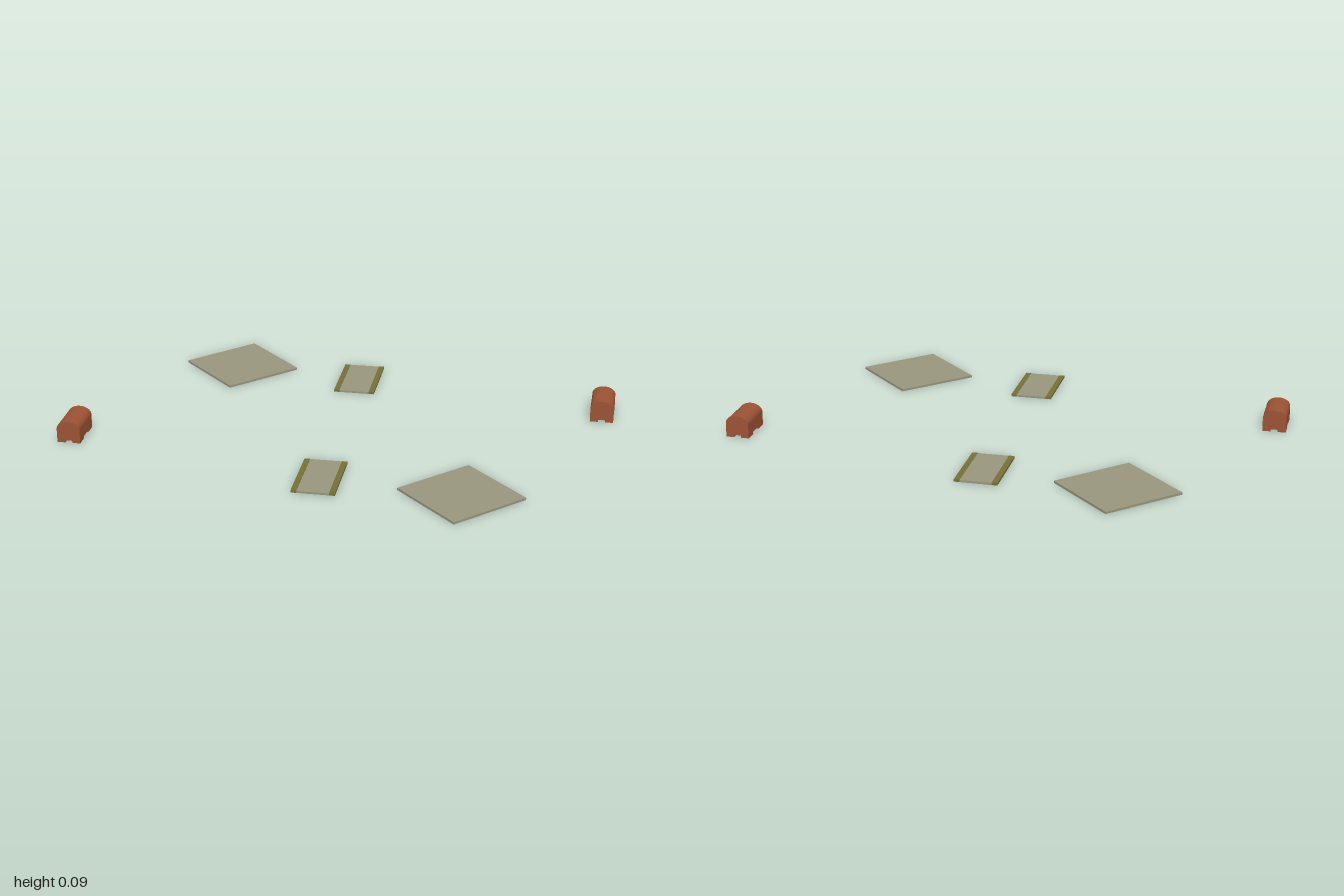
import * as THREE from 'three';

const material = (name, color) => {
  const m = new THREE.MeshStandardMaterial({ color });
  m.name = name;
  return m;
};

export function createModel() {
  const stone = material('grey olive', 0x98967c);
  const trim = material('dark olive', 0x757038);
  const wood = material('rust brown', 0x9c5335);
  const model = new THREE.Group();

  const add = (parent, name, geometry, mat, x = 0, y = 0, z = 0) => {
    const mesh = new THREE.Mesh(geometry, mat);
    mesh.name = name;
    mesh.position.set(x, y, z);
    parent.add(mesh);
    return mesh;
  };

  // Each diagonal piece runs along its local z
  const diagonal = (name, x, z) => {
    const group = new THREE.Group();
    group.name = name;
    group.position.set(x, 0, z);
    group.rotation.y = Math.PI * 0.75;
    model.add(group);
    return group;
  };

  // Square floor slabs
  const slab = new THREE.BoxGeometry(0.336, 0.009, 0.336);
  for (const z of [-0.751, 0.748]) add(model, 'squareSlab', slab, stone, -0.002, 0.0045, z);

  // Bordered mats
  const matCentre = new THREE.BoxGeometry(0.122, 0.008, 0.276);
  const matBorder = new THREE.BoxGeometry(0.022, 0.009, 0.276);
  for (const [x, z] of [[0.317, -0.34], [-0.347, 0.331]]) {
    const mat = diagonal('borderedMat', x, z);
    add(mat, 'matCentre', matCentre, stone, 0, 0.004, 0);
    for (const s of [-1, 1]) add(mat, 'matBorder', matBorder, trim, s * 0.072, 0.0045, 0);
  }

  // Small chests with arched lids and corner feet
  const W = 0.092, L = 0.158, wallTop = 0.056, top = 0.088, footH = 0.009;
  const body = new THREE.BoxGeometry(W, wallTop - footH, L);
  const lid = new THREE.CylinderGeometry(1, 1, L, 20, 1, false, Math.PI / 2, Math.PI);
  lid.rotateX(Math.PI / 2);
  lid.scale(W / 2, top - wallTop, 1);
  const foot = new THREE.BoxGeometry(0.032, footH, 0.05);
  for (const [x, z] of [[-0.912, -0.542], [0.912, 0.507]]) {
    const chest = diagonal('chest', x, z);
    add(chest, 'chestBody', body, wood, 0, (wallTop + footH) / 2, 0);
    add(chest, 'chestLid', lid, wood, 0, wallTop, 0);
    for (const sx of [-1, 1]) {
      for (const sz of [-1, 1]) {
        add(chest, 'chestFoot', foot, wood, sx * (W / 2 - 0.016), footH / 2, sz * (L / 2 - 0.025));
      }
    }
  }
  return model;
}
